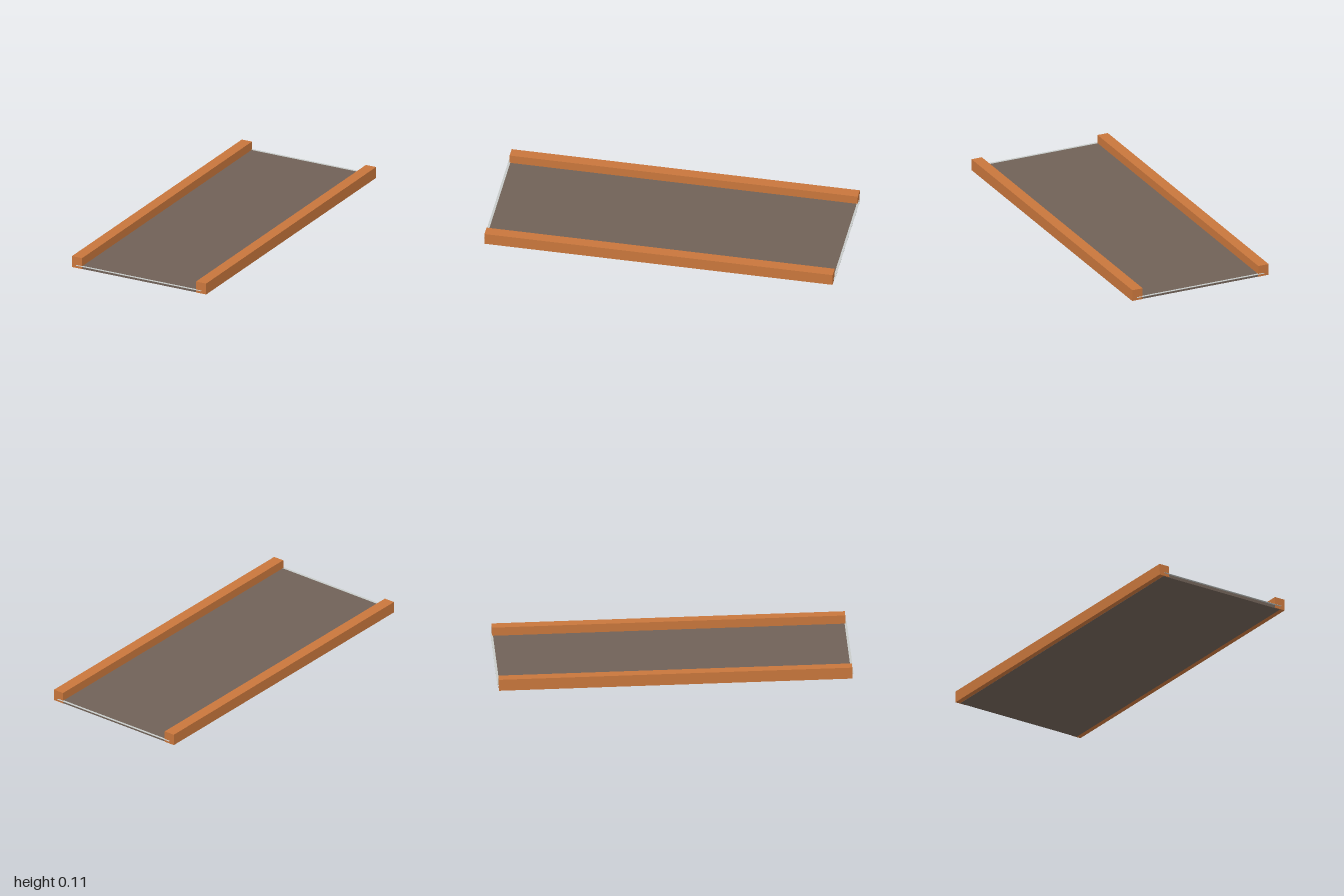
import * as THREE from 'three';

export function createModel() {
  const model = new THREE.Group();
  const orange = new THREE.MeshStandardMaterial({ color: 0xc8763c });
  orange.name = 'orange';
  const brown = new THREE.MeshStandardMaterial({ color: 0x706157 });
  brown.name = 'brown';
  const paleGrey = new THREE.MeshStandardMaterial({ color: 0xc6cac8 });
  paleGrey.name = 'pale grey';

  // The whole bed leans slightly: front end up, left side up
  const bed = new THREE.Group();
  bed.name = 'bed';
  bed.rotation.set(-0.018, 0, 0.0105);
  bed.position.y = 0.0235;
  model.add(bed);

  // Box given by its size and the centre of its underside
  function addBox(name, material, [w, h, d], [x, y, z]) {
    const mesh = new THREE.Mesh(new THREE.BoxGeometry(w, h, d), material);
    mesh.name = name;
    mesh.position.set(x, y + h / 2, z);
    bed.add(mesh);
  }

  // Deck between the rails, just proud of their undersides
  addBox('deck', brown, [0.8, 0.018, 1.976], [0, -0.001, 0]);

  for (const side of [1, -1]) {
    // Side rails
    addBox(side > 0 ? 'leftRail' : 'rightRail', orange, [0.065, 0.066, 1.984], [side * 0.3965, 0, 0]);
    // Thin pale lips at both ends of the deck
    addBox(side > 0 ? 'frontLip' : 'backLip', paleGrey, [0.8, 0.0015, 0.013], [0, 0.0165, side * 0.9935]);
  }
  return model;
}
